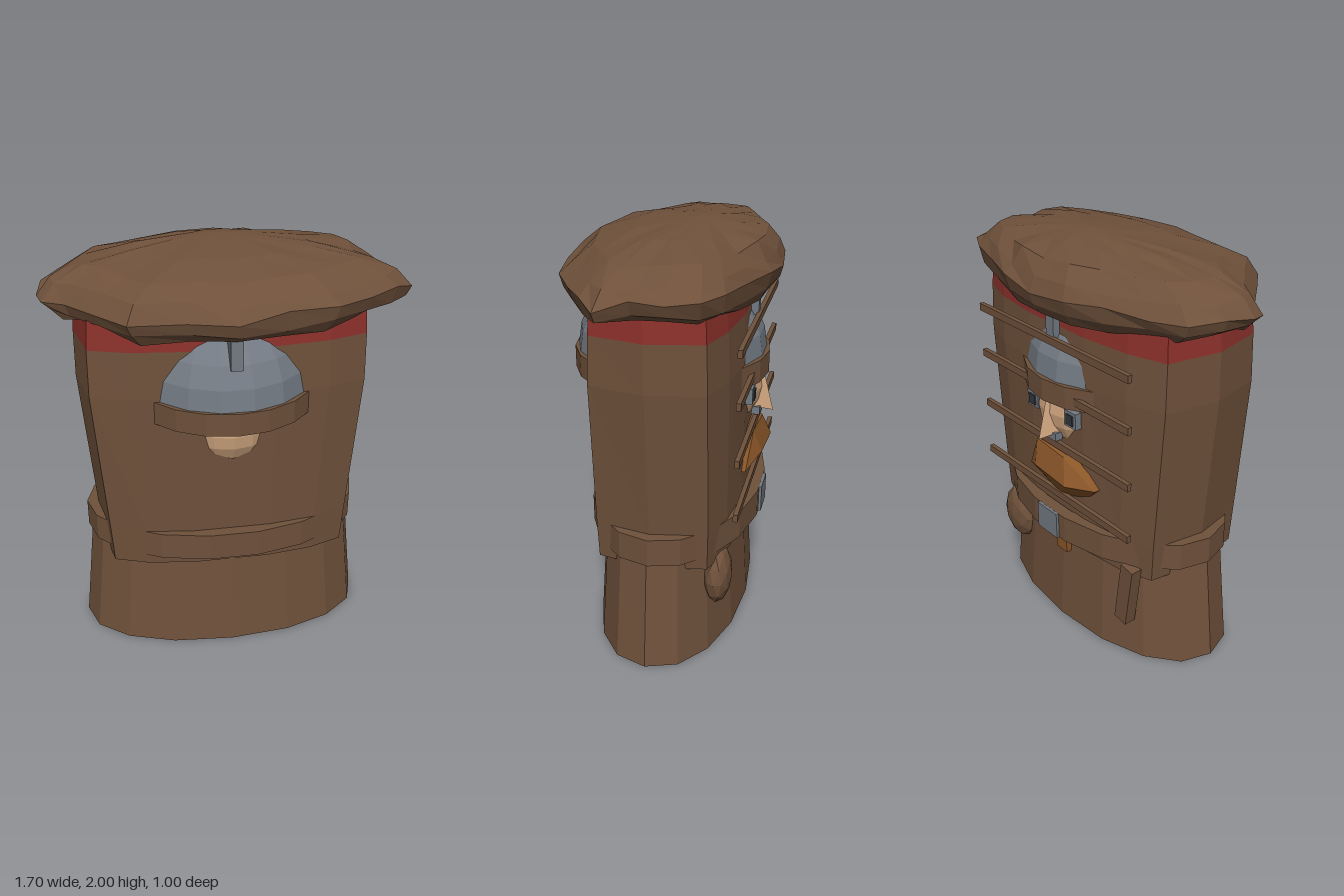
import * as THREE from 'three';
import { ConvexGeometry } from 'three/addons/geometries/ConvexGeometry.js';

const CX = -0.018, CZ = -0.025; // axis of the body

const mat = (name, color) => {
  const m = new THREE.MeshStandardMaterial({ color, side: THREE.DoubleSide });
  m.name = name;
  return m;
};

// Faceted mesh: separate triangles with face normals
function part(name, geo, material, x = 0, y = 0, z = 0) {
  const g = geo.index ? geo.toNonIndexed() : geo;
  g.computeVertexNormals();
  const m = new THREE.Mesh(g, material);
  m.name = name;
  m.position.set(x, y, z);
  return m;
}

// Skin between rings of [x, y, z] points, listed from bottom to top
function loft(rings) {
  const p = [], n = rings[0].length;
  for (let r = 0; r < rings.length - 1; r++) {
    for (let i = 0; i < n; i++) {
      const j = (i + 1) % n;
      const a = rings[r][i], b = rings[r][j], c = rings[r + 1][j], d = rings[r + 1][i];
      p.push(...a, ...d, ...c, ...a, ...c, ...b);
    }
  }
  const g = new THREE.BufferGeometry();
  g.setAttribute('position', new THREE.Float32BufferAttribute(p, 3));
  return g;
}

// Rounded ring; a power below 1 makes it squarer
function oval(a, b, y, n, power = 1) {
  const f = v => Math.sign(v) * Math.pow(Math.abs(v), power);
  return Array.from({ length: n }, (_, i) => {
    const t = (i / n) * Math.PI * 2;
    return [a * f(Math.cos(t)), y, b * f(Math.sin(t))];
  });
}

// Hollow band with a flat top and bottom
const band = (a, b, h, n) => loft([
  oval(a * 0.85, b * 0.85, 0, n), oval(a, b, 0, n), oval(a, b, h, n), oval(a * 0.85, b * 0.85, h, n),
]);

// Coat section: bowed front, back and sides meeting at four sharp corners
const quarter = [[0.685, 0], [0.632, 0.262], [0.45, 0.32], [0.2, 0.35]];
const half = [...quarter, ...quarter.slice(1).reverse().map(([x, z]) => [-x, z])];
const section = [...half, ...half.map(([x, z]) => [-x, -z])];
const coatRing = (y, sx, sz) => section.map(([x, z]) => [x * sx, y, z * sz]);

// Uneven soft cap
function capGeometry() {
  const rim = [
    [-0.85, 0], [-0.83, -0.14], [-0.75, -0.27], [-0.6, -0.34], [-0.4, -0.41], [-0.23, -0.48],
    [-0.02, -0.5], [0.2, -0.48], [0.4, -0.41], [0.6, -0.35], [0.73, -0.28], [0.78, -0.14],
    [0.78, 0], [0.845, 0.13], [0.75, 0.21], [0.6, 0.31], [0.43, 0.41], [0.2, 0.45],
    [-0.02, 0.5], [-0.23, 0.45], [-0.48, 0.43], [-0.6, 0.29], [-0.73, 0.13], [-0.83, 0.07],
  ];
  let seed = 7;
  const rand = () => (seed = (seed * 16807) % 2147483647) / 2147483647 - 0.5;
  // [scale, height, unevenness, shift in z, lift at the left and right ends]
  const levels = [
    [0, 1.71, 0, 0, 0], [0.6, 1.695, 0, 0, 0.03], [0.88, 1.68, 0.03, 0, 0.035], [0.96, 1.73, 0.03, 0, 0.02],
    [1, 1.8, 0.04, 0, 0], [0.92, 1.855, 0.03, -0.01, 0], [0.77, 1.92, 0.025, -0.03, 0],
    [0.48, 1.965, 0.015, -0.06, 0], [0.2, 1.988, 0, -0.11, 0], [0, 2, 0, -0.13, 0],
  ];
  return loft(levels.map(([s, y, u, dz, lift]) => rim.map(([x, z]) => {
    const k = s === 1 ? 1 : s * (1 + rand() * u);
    return [x * k, y + rand() * u + lift * x * x, z * k + dz];
  })));
}

export function createModel() {
  const root = new THREE.Group();
  root.name = 'uniformedFigure';
  const brown = mat('brown cloth', 0x6f513b);
  const red = mat('red trim', 0x8c312b);
  const grey = mat('grey metal', 0x737a83);
  const skin = mat('skin', 0xcfa57f);
  const amber = mat('amber beard', 0x8a5628);
  const dark = mat('dark', 0x34363a);
  const add = (...args) => {
    const m = part(...args);
    root.add(m);
    return m;
  };

  // Clothing
  add('skirt', loft([
    oval(0.725, 0.365, 0, 16, 0.93), oval(0.665, 0.33, 0.56, 16, 0.93),
  ]), brown, CX, 0, -0.02);
  add('coat', loft([
    coatRing(0.487, 0.9, 0.985), coatRing(0.68, 0.92, 1), coatRing(1.38, 1.005, 1), coatRing(1.605, 1, 0.97),
  ]), brown, CX, 0, CZ);
  add('collar', loft([coatRing(1.605, 1, 0.97), coatRing(1.74, 0.985, 0.94)]), red, CX, 0, CZ);
  add('belt', band(0.685, 0.418, 0.135, 18), brown, CX, 0.54, -0.03);
  add('cap', capGeometry(), brown);

  // Helmet running through the body
  const dome = new THREE.SphereGeometry(1, 18, 6, 0, Math.PI * 2, 0, Math.PI / 2);
  add('helmet', dome.scale(0.43, 0.4, 0.455), grey, CX, 1.365, 0.017);
  add('helmetBrim', band(0.455, 0.47, 0.108, 20), brown, CX, 1.262, 0.015);
  add('helmetRidge', new THREE.BoxGeometry(0.055, 0.155, 0.83), grey, CX, 1.627, 0.015);

  // Face, on the -z side
  add('head', new THREE.SphereGeometry(1, 20, 14).scale(0.295, 0.285, 0.4), skin, CX, 1.19, -0.03);
  const noseShape = new THREE.ConeGeometry(0.11, 0.18, 3, 1, false, Math.PI).scale(0.85, 1, 1);
  const nose = add('nose', noseShape, skin, CX, 1.185, -0.405);
  nose.rotation.x = -0.3;
  add('mouth', new THREE.BoxGeometry(0.1, 0.04, 0.04), grey, CX, 1.075, -0.405);
  for (const s of [-1, 1]) {
    const x = CX + s * 0.142;
    add('eyeFrame', new THREE.BoxGeometry(0.08, 0.08, 0.05), grey, x, 1.2, -0.383);
    add('pupil', new THREE.BoxGeometry(0.045, 0.05, 0.008), dark, x, 1.2, -0.411);
  }
  const beard = [
    [0.12, 1.0, -0.34], [-0.15, 1.03, -0.34], [-0.31, 0.88, -0.36], [-0.2, 0.77, -0.35],
    [-0.04, 0.74, -0.36], [0.2, 0.82, -0.36], [0.1, 1.0, -0.41], [-0.12, 0.99, -0.42],
    [-0.17, 0.87, -0.46], [0.07, 0.88, -0.45], [-0.31, 0.88, -0.39], [0.19, 0.82, -0.39],
    [-0.05, 0.75, -0.39],
  ];
  add('beard', new ConvexGeometry(beard.map(v => new THREE.Vector3(...v))), amber);

  // Cross bars on the chest
  for (const y of [1.545, 1.305, 1.03, 0.76]) {
    add('chestBar', new THREE.BoxGeometry(1.09, 0.036, 0.022), brown, CX, y, -0.403);
  }

  // Belt fittings
  add('buckle', new THREE.BoxGeometry(0.15, 0.135, 0.04), grey, CX, 0.607, -0.435);
  add('beltTab', new THREE.BoxGeometry(0.08, 0.1, 0.03), amber, CX - 0.015, 0.46, -0.368);
  add('pouch', new THREE.IcosahedronGeometry(1, 1).scale(0.12, 0.15, 0.068), brown, 0.415, 0.385, -0.31);
  const sheath = add('sheath', new THREE.BoxGeometry(0.08, 0.33, 0.06), brown, -0.475, 0.375, -0.33);
  sheath.rotation.z = 0.14;

  return root;
}
